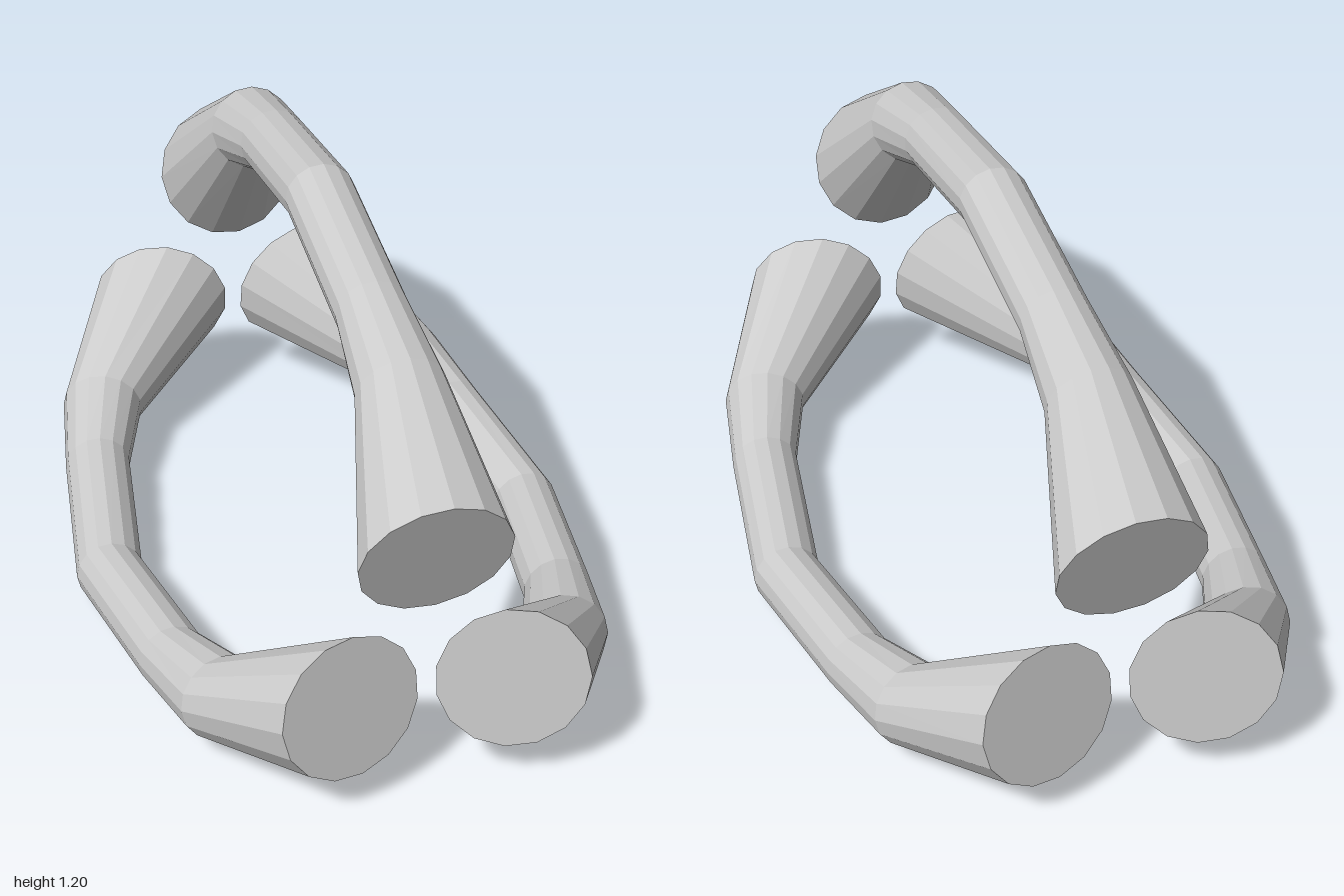
import * as THREE from 'three';

const SIDES = 15;

// Half of a bar: outer and inner edge [z, distance from axis] and ring radius.
const HALF = [
  { out: [0, 0.739], inn: [0, 0.567], r: 0.088 },
  { out: [0.44, 0.665], inn: [0.42, 0.494], r: 0.088 },
  { out: [0.69, 0.607], inn: [0.62, 0.405], r: 0.108 },
  { out: [1.0, 0.404], inn: [0.887, 0.053], r: 0.185 },
];

// Mirror the half profile to get all rings from back to front.
const flip = ({ out, inn, r }) => ({ out: [-out[0], out[1]], inn: [-inn[0], inn[1]], r });
const RINGS = [...HALF.slice(1).reverse().map(flip), ...HALF];

function barGeometry(phase) {
  const pos = [];
  const index = [];
  const mid = ({ out, inn }) => [0, (out[1] + inn[1]) / 2, (out[0] + inn[0]) / 2];

  // Tilted rings along the bar
  for (const ring of RINGS) {
    const [, cy, cz] = mid(ring);
    for (let j = 0; j < SIDES; j++) {
      const a = phase + (j / SIDES) * Math.PI * 2;
      const s = Math.sin(a);
      pos.push(Math.cos(a) * ring.r, cy + s * (ring.out[1] - cy), cz + s * (ring.out[0] - cz));
    }
  }
  // Cap centres
  const last = RINGS.length - 1;
  const back = RINGS.length * SIDES;
  pos.push(...mid(RINGS[0]), ...mid(RINGS[last]));

  for (let j = 0; j < SIDES; j++) {
    const k = (j + 1) % SIDES;
    for (let i = 0; i < last; i++) {
      const a = i * SIDES + j, b = i * SIDES + k;
      index.push(a, b, b + SIDES, a, b + SIDES, a + SIDES);
    }
    index.push(back, k, j);
    index.push(back + 1, last * SIDES + j, last * SIDES + k);
  }

  const indexed = new THREE.BufferGeometry();
  indexed.setAttribute('position', new THREE.Float32BufferAttribute(pos, 3));
  indexed.setIndex(index);
  const geometry = indexed.toNonIndexed();
  geometry.computeVertexNormals();
  return geometry;
}

export function createModel() {
  const group = new THREE.Group();
  group.name = 'threeBarCage';
  const material = new THREE.MeshStandardMaterial({ color: 0xcccccc, flatShading: true });

  // Three flared bars set around the z axis
  const bars = [
    { name: 'topBar', turn: 0, y: 0.463, phase: Math.PI },
    { name: 'rightBar', turn: (Math.PI * 2) / 3, y: 0.418, phase: Math.PI },
    { name: 'leftBar', turn: (-Math.PI * 2) / 3, y: 0.418, phase: 0 },
  ];
  for (const { name, turn, y, phase } of bars) {
    const bar = new THREE.Mesh(barGeometry(phase), material);
    bar.name = name;
    bar.rotation.z = turn;
    bar.position.y = y;
    group.add(bar);
  }
  return group;
}
